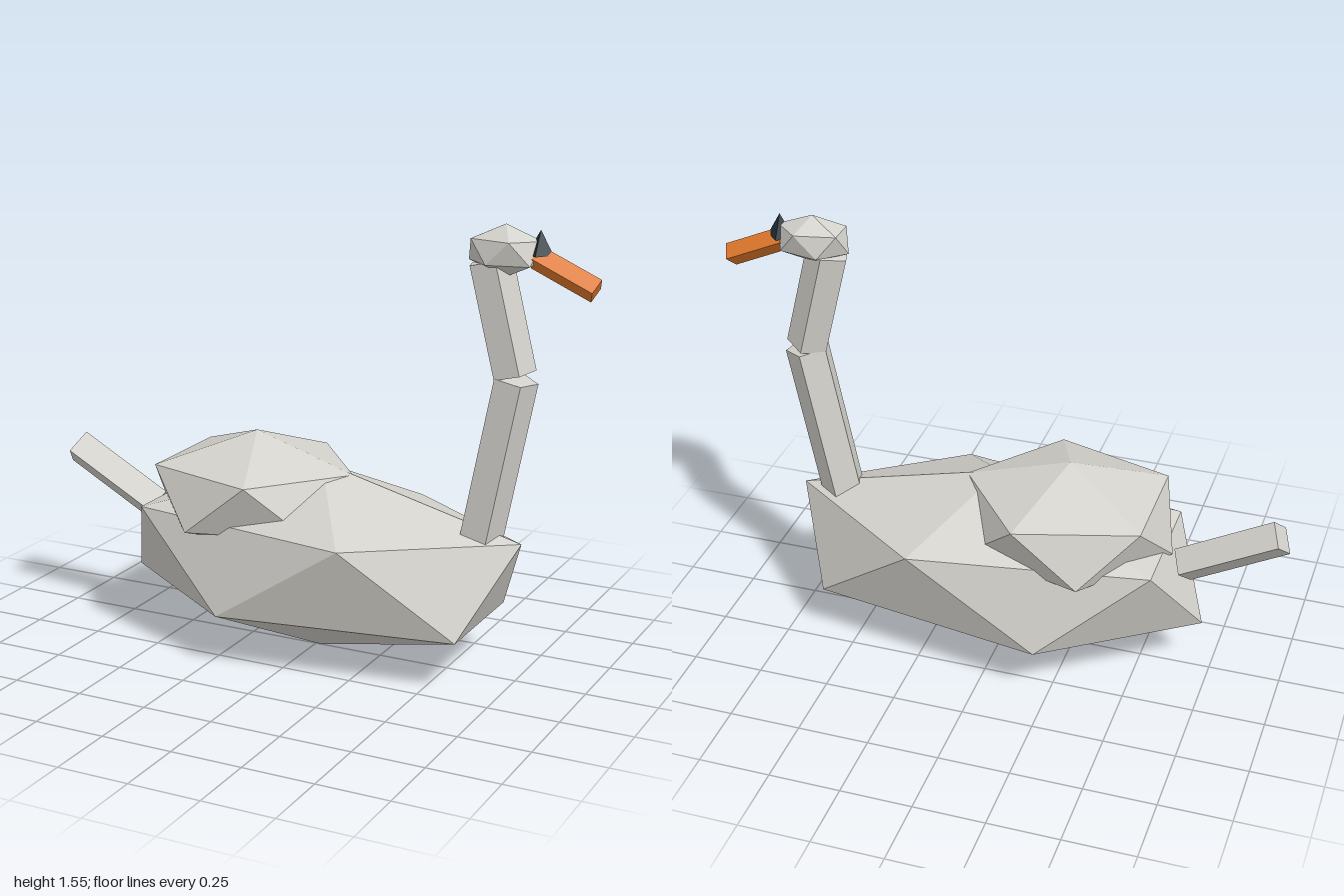
import * as THREE from 'three';

const grey = new THREE.MeshStandardMaterial({ color: 0xd4d2cc });
grey.name = 'feather grey';
const orange = new THREE.MeshStandardMaterial({ color: 0xe27a2c });
orange.name = 'beak orange';
const dark = new THREE.MeshStandardMaterial({ color: 0x1f2e34 });
dark.name = 'dark slate';
for (const m of [grey, orange, dark]) m.flatShading = true;

// Icosahedron standing on a corner, upper ring pointing to +x
function icoGeometry() {
  const ring = (y, offset) => Array.from({ length: 5 }, (_, i) => {
    const a = (i + offset) * Math.PI * 0.4;
    return [Math.cos(a) * 0.8944, y, Math.sin(a) * 0.8944];
  });
  const up = ring(0.4472, 0), low = ring(-0.4472, 0.5);
  const pos = [];
  for (let i = 0; i < 5; i++) {
    const j = (i + 1) % 5;
    pos.push([0, 1, 0], up[j], up[i], up[i], up[j], low[i]);
    pos.push(low[i], up[j], low[j], [0, -1, 0], low[i], low[j]);
  }
  const g = new THREE.BufferGeometry();
  g.setAttribute('position', new THREE.Float32BufferAttribute(pos.flat(), 3));
  g.computeVertexNormals();
  return g;
}

export function createModel() {
  const group = new THREE.Group();
  const add = (name, geometry, material) => {
    const mesh = new THREE.Mesh(geometry, material);
    mesh.name = name;
    group.add(mesh);
    return mesh;
  };

  const blob = (name, center, scale) => {
    const g = icoGeometry().scale(...scale).translate(...center);
    g.computeVertexNormals();
    return add(name, g, grey);
  };

  // Prism running between two points of the x-y plane
  const prism = (name, [x0, y0], [x1, y1], radius, sides, start, material) => {
    const dx = x1 - x0, dy = y1 - y0;
    const g = new THREE.CylinderGeometry(radius, radius, Math.hypot(dx, dy), sides, 1, false, start).toNonIndexed();
    g.computeVertexNormals();
    const mesh = add(name, g, material);
    mesh.position.set((x0 + x1) / 2, (y0 + y1) / 2, 0);
    mesh.rotation.z = Math.atan2(-dx, dy);
  };

  // Body, folded wings and head
  blob('body', [0.022, 0.336, 0], [0.824, 0.336, 0.414]);
  blob('wings', [-0.228, 0.547, 0], [0.414, 0.208, 0.37]);
  blob('head', [0.676, 1.462, 0], [0.14, 0.086, 0.091]);

  // Five-sided neck in two bent sections
  prism('lowerNeck', [0.61, 0.495], [0.718, 1.045], 0.079, 5, Math.PI, grey);
  prism('upperNeck', [0.714, 1.058], [0.622, 1.425], 0.076, 5, Math.PI, grey);

  // Four-sided tail and beak, edge up
  prism('tail', [-0.635, 0.418], [-0.968, 0.598], 0.066, 4, 0, grey);
  prism('beak', [0.78, 1.449], [0.983, 1.358], 0.041, 4, 0, orange);

  // Pointed knob above the beak
  const knob = new THREE.ConeGeometry(0.046, 0.08, 4).toNonIndexed();
  knob.computeVertexNormals();
  add('beakKnob', knob, dark).position.set(0.793, 1.497, 0);

  return group;
}
